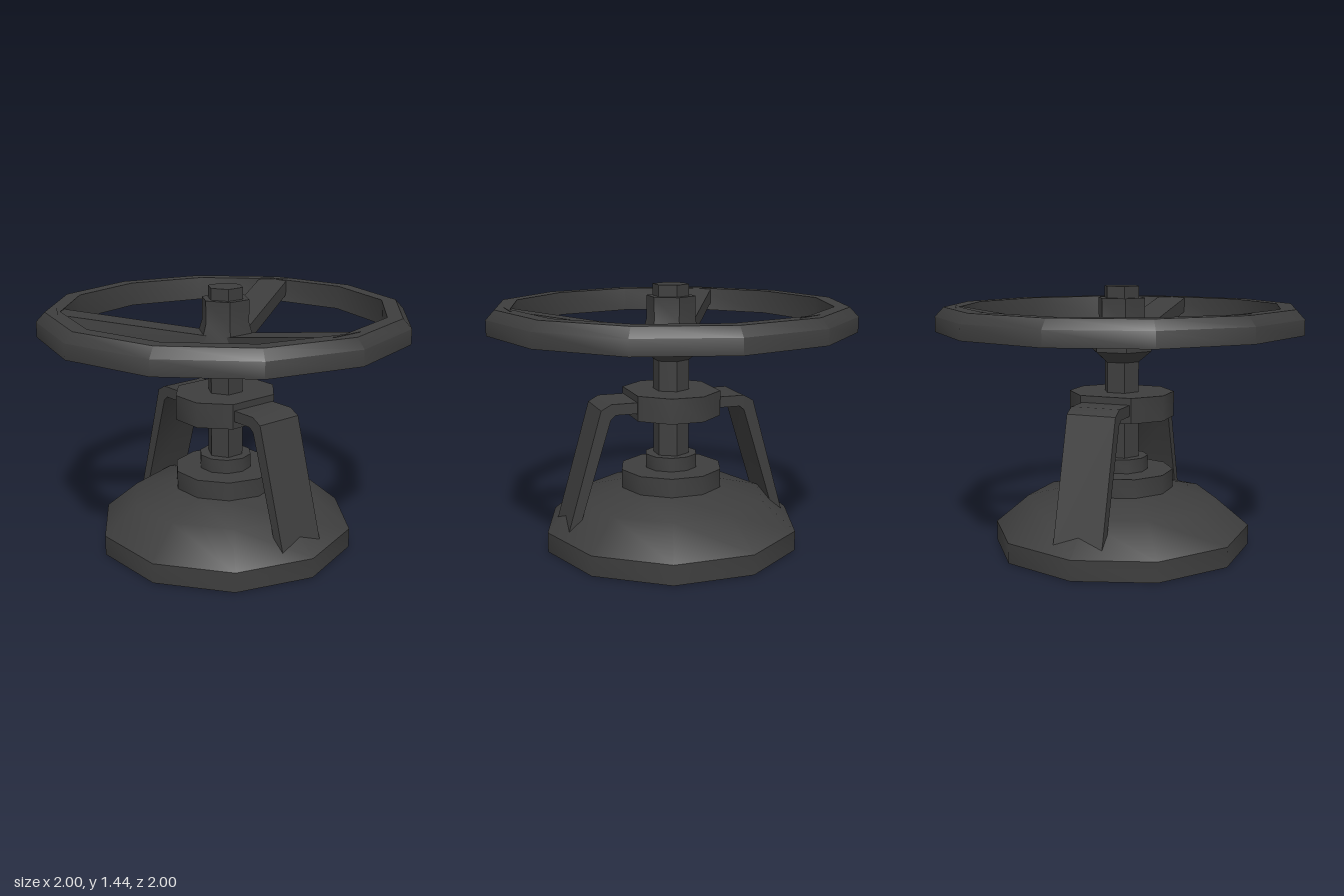
import * as THREE from 'three';
import { toCreasedNormals } from 'three/addons/utils/BufferGeometryUtils.js';

const CREASE = 0.75;

export function createModel() {
  const model = new THREE.Group();
  model.name = 'valveWheel';

  const iron = new THREE.MeshStandardMaterial({ color: 0x3d3d3d, side: THREE.DoubleSide });
  iron.name = 'darkIron';

  const add = (name, geometry) => {
    const mesh = new THREE.Mesh(toCreasedNormals(geometry, CREASE), iron);
    mesh.name = name;
    model.add(mesh);
    return mesh;
  };

  // Turned part from [radius, y] points, listed upwards on the outside
  const turned = (name, points, sides, start = 0) =>
    add(name, new THREE.LatheGeometry(points.map(([r, y]) => new THREE.Vector2(r, y)), sides, start));

  // Hollow ten-sided base: rim, dome and two stepped collars, open below
  turned('base', [
    [0.71, 0], [0.71, 0.11], [0.526, 0.265], [0.285, 0.325],
    [0.285, 0.428], [0.145, 0.428], [0.145, 0.505], [0, 0.505],
  ], 10);

  // Hexagonal stem running up through the wheel
  turned('stem', [[0.1, 0.5], [0.1, 1.44], [0, 1.44]], 6, Math.PI / 2);

  // Hexagonal wheel hub, flared in the middle
  turned('hub', [
    [0, 1.03], [0.1, 1.03], [0.173, 1.09], [0.173, 1.135],
    [0.135, 1.25], [0.135, 1.377], [0, 1.377],
  ], 6, Math.PI / 2);

  // Twelve-sided wheel rim with a chamfered outer edge
  turned('wheelRim', [
    [0.865, 1.203], [1, 1.203], [1, 1.285], [0.953, 1.335], [0.872, 1.335], [0.865, 1.203],
  ], 12);

  // Three spokes rising from the hub to the rim
  const inner = 0.08, outer = 0.89;
  for (let i = 0; i < 3; i++) {
    const spoke = new THREE.BoxGeometry(0.175, 0.085, outer - inner);
    spoke.translate(0, 0, (inner + outer) / 2);
    const p = spoke.attributes.position;
    for (let k = 0; k < p.count; k++) p.setY(k, p.getY(k) + 1.13 + 0.185 * p.getZ(k));
    add('spoke', spoke).rotation.y = (i * Math.PI * 2) / 3;
  }

  // Eight-sided block that guides the stem
  const block = new THREE.Shape([
    [0.273, 0.09], [0.145, 0.235], [-0.145, 0.235], [-0.273, 0.09],
    [-0.273, -0.09], [-0.145, -0.235], [0.145, -0.235], [0.273, -0.09],
  ].map(([x, z]) => new THREE.Vector2(x, z)));
  const blockGeometry = new THREE.ExtrudeGeometry(block, { depth: 0.137, bevelEnabled: false });
  blockGeometry.rotateX(-Math.PI / 2).translate(0, 0.728, 0);
  add('guideBlock', blockGeometry);

  // Bent strap arms, front and back, drawn as [z, y] and extruded across x
  const strap = new THREE.Shape([
    [0.2, 0.768], [0.354, 0.768], [0.382, 0.745], [0.565, 0.155], [0.622, 0.145],
    [0.435, 0.797], [0.378, 0.828], [0.2, 0.828],
  ].map(([z, y]) => new THREE.Vector2(z, y)));
  for (const [name, turn] of [['frontArm', 0], ['backArm', Math.PI]]) {
    const arm = new THREE.ExtrudeGeometry(strap, { depth: 0.27, bevelEnabled: false });
    arm.translate(0, 0, -0.135).rotateY(-Math.PI / 2);
    add(name, arm).rotation.y = turn;
  }

  return model;
}
